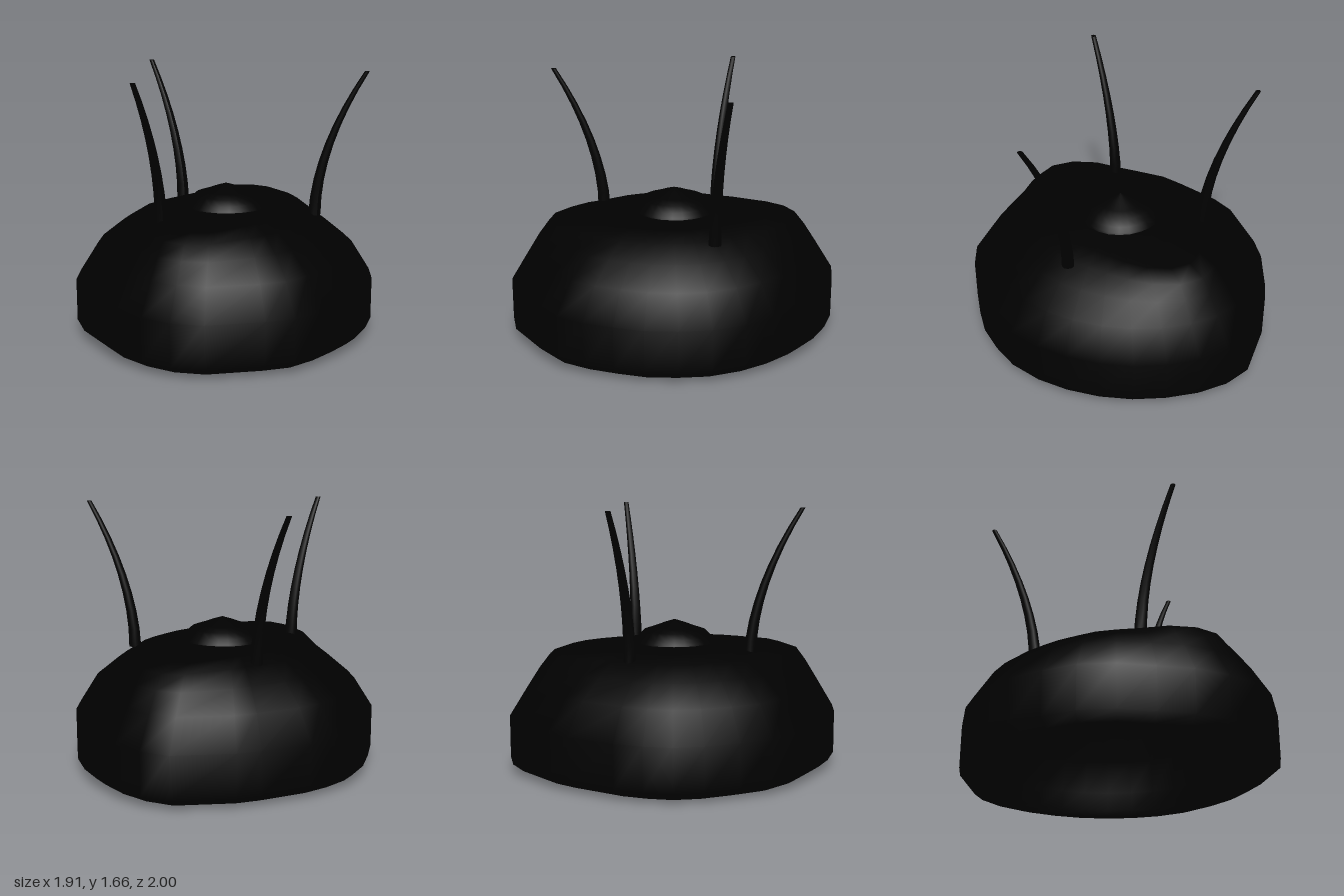
import * as THREE from 'three';

const material = new THREE.MeshStandardMaterial({ color: 0x000000, side: THREE.DoubleSide });

// Uneven plan of the shell, x and z pairs going round once
const outline = [
  [0.08, -1], [0.46, -0.98], [0.62, -0.88], [0.75, -0.73], [0.85, -0.55], [0.92, -0.36],
  [0.955, -0.16], [0.955, 0.05], [0.92, 0.25], [0.84, 0.45], [0.72, 0.61], [0.58, 0.75],
  [0.42, 0.85], [0.25, 0.94], [0.07, 1], [-0.11, 0.99], [-0.46, 0.93], [-0.63, 0.83],
  [-0.76, 0.68], [-0.86, 0.49], [-0.91, 0.28], [-0.96, 0.06], [-0.955, -0.16], [-0.88, -0.36],
  [-0.79, -0.56], [-0.68, -0.71], [-0.54, -0.81], [-0.38, -0.89], [-0.07, -0.975],
];

// Shell section: scale on the lean shoulders, scale on the two full shoulders, height
const outerRings = [
  [0.94, 0.94, 0.03], [1, 1, 0.08], [1, 1, 0.35], [0.875, 0.89, 0.54], [0.72, 0.82, 0.66],
  [0.58, 0.76, 0.745], [0.45, 0.65, 0.785], [0.26, 0.27, 0.805], [0, 0, 0.81],
];
const undersideRings = [
  [0, 0, 0.64], [0.42, 0.42, 0.62], [0.6, 0.6, 0.52], [0.72, 0.72, 0.36], [0.77, 0.77, 0.15],
  [0.78, 0.78, 0.03], [0.81, 0.81, 0.005], [0.87, 0.87, 0.005], [0.94, 0.94, 0.03],
];

function mesh(name, geometry) {
  const m = new THREE.Mesh(geometry, material);
  m.name = name;
  return m;
}

// Skins a stack of scaled outlines, from the first ring to the last
function loft(rings) {
  const n = outline.length, positions = [], index = [];
  for (const [lean, full, y] of rings) {
    for (const [x, z] of outline) {
      // The full shoulders lie at the front right and the back left
      const u = (-0.65 * x + 0.76 * z) / Math.hypot(x, z);
      const s = THREE.MathUtils.lerp(lean, full, u ** 6);
      positions.push(x * s, y, z * s);
    }
  }
  for (let r = 0; r < rings.length - 1; r++) {
    for (let i = 0; i < n; i++) {
      const a = r * n + i, b = r * n + (i + 1) % n;
      index.push(a, a + n, b, b, a + n, b + n);
    }
  }
  const g = new THREE.BufferGeometry();
  g.setAttribute('position', new THREE.Float32BufferAttribute(positions, 3));
  g.setIndex(index);
  g.computeVertexNormals();
  return g;
}

// Tapered spike whose top leans outward along a curve
function spike(name, [x0, y0, z0], [x1, y1, z1]) {
  const h = y1 - y0;
  const g = new THREE.CylinderGeometry(0.016, 0.04, h, 10, 8);
  const p = g.attributes.position;
  for (let i = 0; i < p.count; i++) {
    const f = THREE.MathUtils.clamp(p.getY(i) / h + 0.5, 0, 1) ** 1.85;
    p.setX(i, p.getX(i) + (x1 - x0) * f);
    p.setZ(i, p.getZ(i) + (z1 - z0) * f);
  }
  g.computeVertexNormals();
  const m = mesh(name, g);
  m.position.set(x0, y0 + h / 2, z0);
  return m;
}

export function createModel() {
  const model = new THREE.Group();
  model.name = 'spikedShell';

  // Domed shell, hollow underneath
  model.add(mesh('shell', loft(outerRings)), mesh('hollowUnderside', loft(undersideRings)));

  // Low peaked crown in the middle of the top
  const profile = [
    [0.272, 0.79], [0.26, 0.815], [0.235, 0.84], [0.2, 0.875], [0.14, 0.895], [0.07, 0.922], [0, 0.945],
  ].map(([r, y]) => new THREE.Vector2(r, y));
  const crown = mesh('crown', new THREE.LatheGeometry(profile, 24));
  crown.position.set(0.01, 0, -0.01);
  model.add(crown);

  // Three curved spikes
  model.add(
    spike('rightSpike', [-0.48, 0.73, 0.17], [-0.705, 1.665, 0.39]),
    spike('leftSpike', [0.56, 0.73, 0.16], [0.83, 1.665, 0.32]),
    spike('backSpike', [-0.12, 0.73, -0.52], [-0.25, 1.665, -0.8]),
  );
  return model;
}
